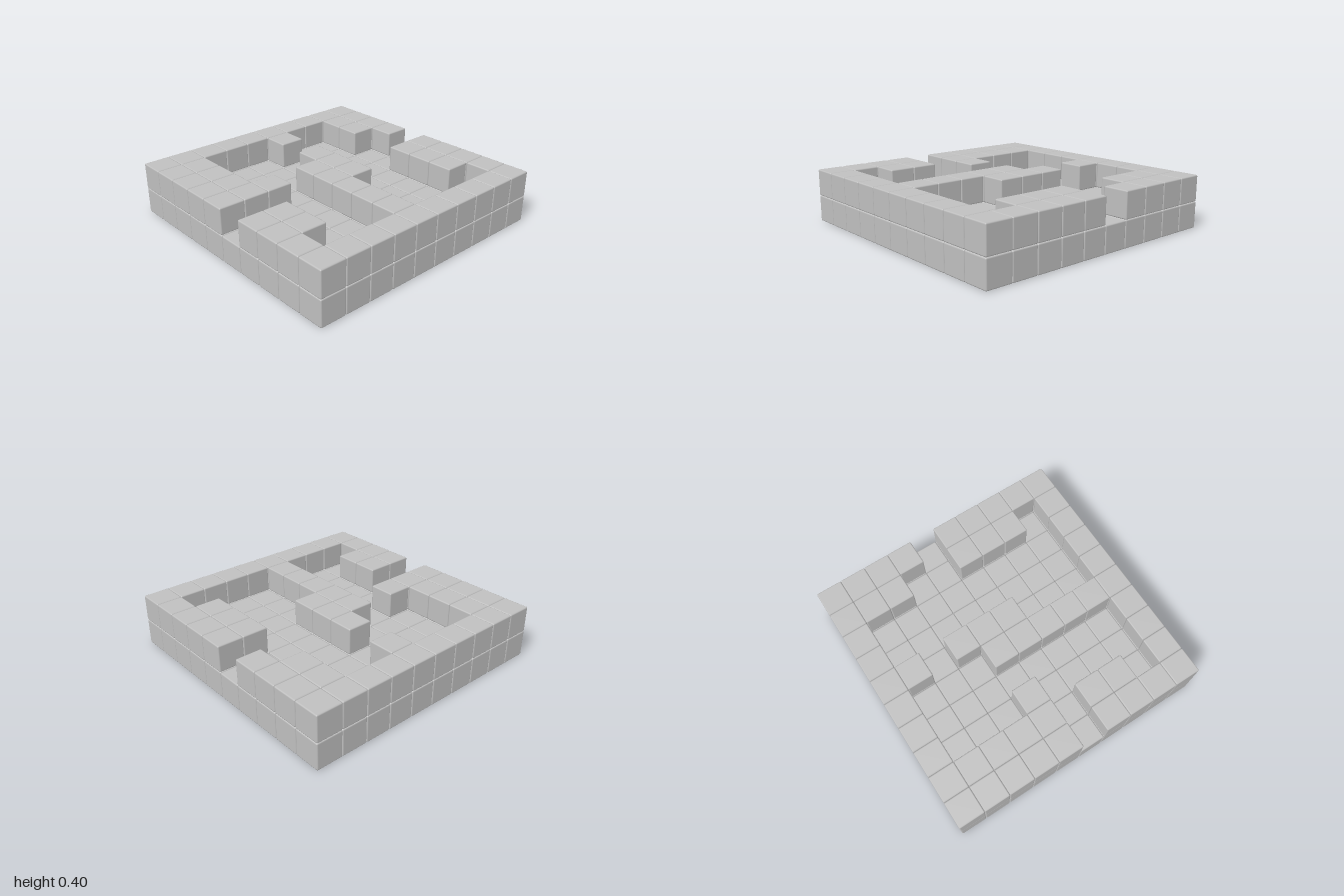
import * as THREE from 'three';
import { RoundedBoxGeometry } from 'three/addons/geometries/RoundedBoxGeometry.js';

const CELL = 0.2;
const COUNT = 10;

// Wall plan, back row first; # marks a wall block, left to right is -x to +x.
const PLAN = [
  '##########',
  '##...#..##',
  '##......##',
  '##...#...#',
  '###.##....',
  '....##..##',
  '##..#...##',
  '##..#...##',
  '#...#....#',
  '##########',
];

export function createModel() {
  const model = new THREE.Group();
  model.name = 'blockMaze';

  const stone = new THREE.MeshStandardMaterial({ color: 0xc0c0c0 });
  stone.name = 'grey stone';

  // One small-bevelled cube shared by every block
  const cube = new RoundedBoxGeometry(CELL, CELL, CELL, 1, 0.01);

  const addLayer = (name, blockName, level, filled) => {
    const layer = new THREE.Group();
    layer.name = name;
    for (let row = 0; row < COUNT; row++) {
      for (let col = 0; col < COUNT; col++) {
        if (!filled(row, col)) continue;
        const block = new THREE.Mesh(cube, stone);
        block.name = blockName;
        block.position.set(
          (col + 0.5) * CELL - 1,
          (level + 0.5) * CELL,
          (row + 0.5) * CELL - 1
        );
        layer.add(block);
      }
    }
    model.add(layer);
  };

  // Solid floor, then the walls standing on it
  addLayer('floor', 'floorBlock', 0, () => true);
  addLayer('walls', 'wallBlock', 1, (row, col) => PLAN[row][col] === '#');

  return model;
}
